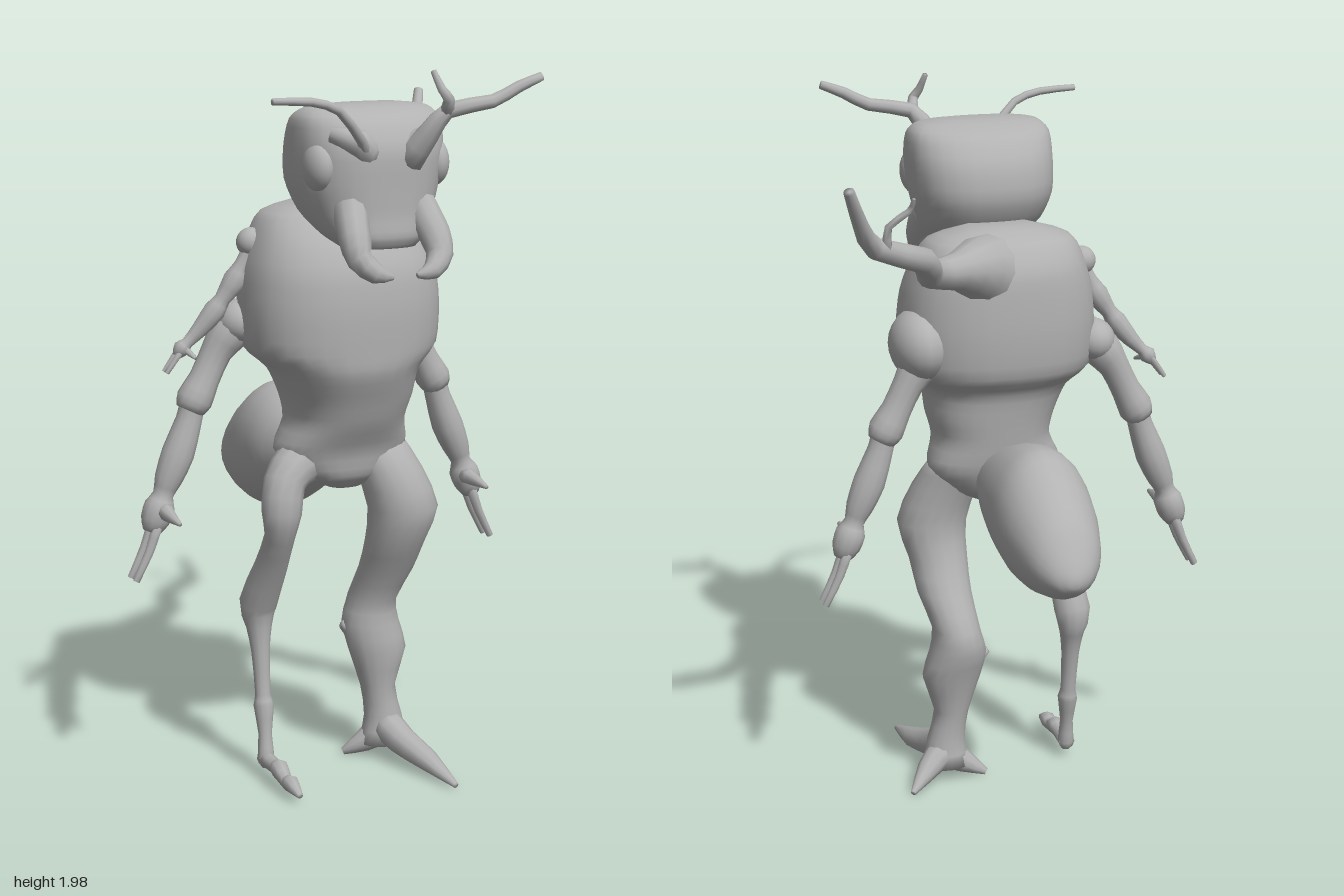
import * as THREE from 'three';

const V = (x, y, z) => new THREE.Vector3(x, y, z);

// Lofted skin through stations [x, y, z, ru, rv]; rings follow the path unless a fixed axis is given.
function loft(stations, { sides = 12, power = 2, steps = 2, axis = null, ref = V(0, 0, 1) } = {}) {
  const path = new THREE.CatmullRomCurve3(stations.map(s => V(s[0], s[1], s[2])), false, 'catmullrom', 0.4);
  const radii = new THREE.CatmullRomCurve3(stations.map(s => V(s[3], s[4] ?? s[3], 0)), false, 'catmullrom', 0.4);
  const rows = (stations.length - 1) * steps;
  const pos = [], index = [];
  for (let i = 0; i <= rows; i++) {
    const c = path.getPoint(i / rows), r = radii.getPoint(i / rows);
    const t = axis ? axis.clone() : path.getPoint(Math.min(1, (i + 0.5) / rows))
      .sub(path.getPoint(Math.max(0, (i - 0.5) / rows))).normalize();
    const u = ref.clone().cross(t).normalize(), v = t.clone().cross(u);
    for (let j = 0; j < sides; j++) {
      const a = (j / sides) * Math.PI * 2;
      const ca = Math.cos(a), sa = Math.sin(a);
      const p = c.clone()
        .addScaledVector(u, Math.sign(ca) * Math.abs(ca) ** (2 / power) * r.x)
        .addScaledVector(v, Math.sign(sa) * Math.abs(sa) ** (2 / power) * r.y);
      pos.push(p.x, p.y, p.z);
    }
  }
  for (let i = 0; i < rows; i++) for (let j = 0; j < sides; j++) {
    const k = (j + 1) % sides;
    const a = i * sides + j, b = i * sides + k, c = b + sides, d = a + sides;
    index.push(a, b, c, a, c, d);
  }
  // End caps
  const first = stations[0], last = stations[stations.length - 1], n = pos.length / 3;
  pos.push(first[0], first[1], first[2], last[0], last[1], last[2]);
  for (let j = 0; j < sides; j++) {
    const k = (j + 1) % sides;
    index.push(n, k, j, n + 1, rows * sides + j, rows * sides + k);
  }
  const g = new THREE.BufferGeometry();
  g.setAttribute('position', new THREE.Float32BufferAttribute(pos, 3));
  g.setIndex(index);
  g.computeVertexNormals();
  return g;
}

export function createModel() {
  const model = new THREE.Group();
  const chitin = new THREE.MeshStandardMaterial({ color: 0xb2b2b2 });
  chitin.name = 'grey chitin';
  const add = (name, geometry, parent = model) => {
    const m = new THREE.Mesh(geometry, chitin);
    m.name = name;
    parent.add(m);
    return m;
  };
  const group = name => {
    const g = new THREE.Group();
    g.name = name;
    model.add(g);
    return g;
  };
  const ball = (name, x, y, z, rx, ry, rz, parent) => {
    const m = add(name, new THREE.SphereGeometry(1, 16, 12), parent);
    m.position.set(x, y, z);
    m.scale.set(rx, ry, rz);
    return m;
  };
  const up = V(0, 1, 0);

  // Hips, waist and broad thorax
  add('torso', loft([
    [0.01, 0.84, 0.1, 0.05, 0.05], [0.01, 0.88, 0.095, 0.13, 0.09], [0.01, 0.95, 0.085, 0.19, 0.115],
    [0.015, 1.03, 0.1, 0.165, 0.145], [0.015, 1.1, 0.11, 0.18, 0.165], [0, 1.18, 0.12, 0.205, 0.19],
    [0, 1.24, 0.1, 0.265, 0.215], [0, 1.35, 0.095, 0.275, 0.222], [0, 1.45, 0.09, 0.265, 0.215],
    [0, 1.53, 0.075, 0.24, 0.19], [0, 1.6, 0.06, 0.2, 0.13], [0, 1.635, 0.06, 0.09, 0.05],
  ], { sides: 28, power: 2.4, steps: 3, axis: up }));

  // Abdomen hanging behind the hips
  add('abdomen', loft([
    [0, 0.93, 0.06, 0.07, 0.06], [-0.01, 0.915, -0.03, 0.105, 0.11], [-0.02, 0.9, -0.13, 0.132, 0.16],
    [-0.02, 0.885, -0.25, 0.137, 0.188], [-0.02, 0.858, -0.35, 0.128, 0.16], [-0.02, 0.828, -0.45, 0.098, 0.108],
    [-0.02, 0.80, -0.505, 0.055, 0.05], [-0.02, 0.79, -0.525, 0.015, 0.015],
  ], { sides: 24, steps: 3, axis: V(0, 0, -1), ref: up }));

  // Head with a squared crown and tapering muzzle
  const head = group('head');
  add('skull', loft([
    [0, 1.535, 0.33, 0.10, 0.08], [0, 1.565, 0.3, 0.135, 0.125], [0, 1.62, 0.255, 0.17, 0.165],
    [0, 1.7, 0.235, 0.197, 0.185], [0.003, 1.79, 0.24, 0.205, 0.178], [0.003, 1.86, 0.245, 0.2, 0.135],
    [0.003, 1.89, 0.25, 0.17, 0.075], [0.003, 1.9, 0.25, 0.09, 0.03],
  ], { sides: 28, power: 2.5, steps: 3, axis: up }), head);
  for (const s of [-1, 1]) {
    ball('eye', s * 0.165, 1.745, 0.32, 0.04, 0.065, 0.06, head);
    add('browRidge', loft([[s * 0.05, 1.77, 0.38, 0.035], [s * 0.09, 1.81, 0.4, 0.035], [s * 0.15, 1.83, 0.36, 0.02]]), head);
    add('mandible', loft([
      [s * 0.1, 1.64, 0.37, 0.045], [s * 0.115, 1.57, 0.43, 0.042], [s * 0.115, 1.52, 0.46, 0.035],
      [s * 0.08, 1.485, 0.485, 0.026], [s * 0.035, 1.475, 0.49, 0.008],
    ], { sides: 10 }), head);
  }

  // Antennae, one slender and one forked
  add('rightAntenna', loft([
    [-0.06, 1.77, 0.39, 0.018], [-0.1, 1.82, 0.435, 0.014], [-0.18, 1.9, 0.47, 0.012],
    [-0.26, 1.925, 0.48, 0.011], [-0.37, 1.93, 0.49, 0.009],
  ], { sides: 8 }), head);
  add('leftAntenna', loft([
    [0.06, 1.76, 0.39, 0.04], [0.09, 1.83, 0.44, 0.03], [0.13, 1.89, 0.47, 0.022],
    [0.25, 1.91, 0.485, 0.018], [0.32, 1.945, 0.495, 0.016], [0.385, 1.97, 0.5, 0.012],
  ], { sides: 8 }), head);
  add('leftAntennaFork', loft([
    [0.125, 1.885, 0.47, 0.018], [0.115, 1.92, 0.5, 0.015], [0.1, 1.945, 0.49, 0.012], [0.088, 1.99, 0.465, 0.008],
  ], { sides: 8 }), head);

  // Branch growing out of the left upper back
  const branch = group('backBranch');
  add('mainBranch', loft([
    [0.03, 1.5, 0.02, 0.13], [0.11, 1.545, -0.08, 0.085], [0.19, 1.56, -0.155, 0.05], [0.28, 1.575, -0.225, 0.038],
    [0.325, 1.635, -0.325, 0.034], [0.47, 1.69, -0.395, 0.028], [0.52, 1.76, -0.45, 0.02], [0.565, 1.86, -0.515, 0.014],
  ], { sides: 12, ref: up }), branch);
  add('twig', loft([
    [0.44, 1.68, -0.395, 0.014], [0.44, 1.745, -0.41, 0.01], [0.39, 1.785, -0.425, 0.009], [0.385, 1.82, -0.45, 0.005],
  ], { sides: 6 }), branch);

  // Main arms with shoulder, cuffs, thumb and two fingers
  for (const s of [-1, 1]) {
    const arm = group(s > 0 ? 'leftArm' : 'rightArm');
    arm.position.x = s > 0 ? -0.01 : -0.03;
    const q = (x, y, z, r, r2) => [s * x, y, z, r, r2 ?? r];
    if (s > 0) ball('shoulder', 0.25, 1.32, 0.03, 0.082, 0.1, 0.12, arm);
    else ball('shoulder', -0.23, 1.3, 0.01, 0.06, 0.06, 0.07, arm);
    add('upperArm', loft([
      q(0.2, 1.33, 0.01, 0.05), q(0.255, 1.27, 0.005, 0.055), q(0.29, 1.22, 0, 0.043),
      q(0.325, 1.15, 0, 0.042), q(0.355, 1.095, 0, 0.05), q(0.37, 1.065, 0, 0.038),
    ], { sides: 12 }), arm);
    add('forearm', loft([
      q(0.36, 1.09, 0, 0.035), q(0.372, 1.04, 0, 0.036), q(0.405, 0.95, 0, 0.045), q(0.435, 0.88, 0, 0.038),
      q(0.45, 0.84, 0, 0.028), q(0.46, 0.81, 0, 0.042), q(0.475, 0.77, 0, 0.04), q(0.485, 0.74, 0, 0.025),
    ], { sides: 12 }), arm);
    add('thumb', loft([
      q(0.455, 0.80, 0.02, 0.026), q(0.458, 0.795, 0.07, 0.018), q(0.458, 0.79, 0.14, 0.006),
    ], { sides: 8, ref: up }), arm);
    for (const z of [-0.02, 0.02]) add('finger', loft([
      q(0.475, 0.76, z * 0.9, 0.016), q(0.5, 0.69, z, 0.013), q(0.54, 0.61, z, 0.01),
    ], { sides: 8 }), arm);
  }

  // Small extra arm on the upper right
  const smallArm = group('smallRightArm');
  ball('smallShoulder', -0.235, 1.52, 0.045, 0.04, 0.04, 0.04, smallArm);
  add('smallArm', loft([
    [-0.22, 1.52, 0.05, 0.03], [-0.26, 1.46, 0.045, 0.022], [-0.28, 1.42, 0.04, 0.033], [-0.315, 1.37, 0.035, 0.022],
    [-0.335, 1.34, 0.03, 0.03], [-0.375, 1.29, 0.02, 0.023], [-0.41, 1.255, 0.015, 0.016],
    [-0.425, 1.24, 0.012, 0.024], [-0.44, 1.22, 0.01, 0.012],
  ], { sides: 10 }), smallArm);
  for (const z of [-0.01, 0.01]) add('smallFinger', loft([
    [-0.43, 1.235, 0.01 + z, 0.01], [-0.472, 1.178, 0.01 + z * 1.3, 0.006],
  ], { sides: 6 }), smallArm);
  add('smallThumb', loft([[-0.42, 1.24, 0.015, 0.012], [-0.405, 1.22, 0.06, 0.005]], { sides: 6 }), smallArm);

  // Heavy left leg with three spreading toes
  const leftLeg = group('leftLeg');
  add('leg', loft([
    [0.1, 0.97, 0.09, 0.09, 0.08], [0.14, 0.88, 0.13, 0.095, 0.09], [0.175, 0.77, 0.15, 0.1, 0.092],
    [0.165, 0.67, 0.125, 0.085, 0.085], [0.16, 0.58, 0.08, 0.078, 0.08], [0.14, 0.48, 0.03, 0.068, 0.08],
    [0.135, 0.41, 0.03, 0.082, 0.08], [0.15, 0.33, 0.045, 0.085, 0.07], [0.15, 0.22, 0.05, 0.05, 0.05],
    [0.165, 0.13, 0.055, 0.055, 0.05], [0.165, 0.05, 0.055, 0.07, 0.06],
  ], { sides: 16, axis: V(0, -1, 0) }), leftLeg);
  add('kneeSpur', loft([[0.12, 0.36, 0.03, 0.05], [0.05, 0.405, 0.02, 0.012]], { sides: 8 }), leftLeg);
  add('frontToe', loft([
    [0.165, 0.11, 0.05, 0.05], [0.18, 0.075, 0.15, 0.042], [0.205, 0.05, 0.25, 0.035, 0.03], [0.22, 0.022, 0.395, 0.008],
  ], { sides: 10, ref: up }), leftLeg);
  add('outerToe', loft([[0.17, 0.1, 0.05, 0.045], [0.235, 0.055, 0.01, 0.032], [0.295, 0.018, -0.05, 0.008]], { sides: 10, ref: up }), leftLeg);
  add('innerToe', loft([[0.16, 0.08, 0.05, 0.045], [0.11, 0.05, 0.04, 0.032], [0.055, 0.02, 0.02, 0.01]], { sides: 10, ref: up }), leftLeg);

  // Thin jointed right leg
  const rightLeg = group('rightLeg');
  add('leg', loft([
    [-0.06, 0.93, 0.09, 0.08], [-0.13, 0.915, 0.11, 0.068], [-0.18, 0.87, 0.135, 0.058], [-0.195, 0.79, 0.15, 0.055],
    [-0.195, 0.72, 0.135, 0.042], [-0.195, 0.62, 0.075, 0.046], [-0.205, 0.5, 0.01, 0.053],
    [-0.205, 0.43, 0.015, 0.036], [-0.205, 0.36, 0.025, 0.026], [-0.205, 0.24, 0.04, 0.022],
    [-0.205, 0.21, 0.045, 0.029], [-0.208, 0.13, 0.06, 0.019], [-0.21, 0.06, 0.07, 0.024], [-0.21, 0.035, 0.07, 0.012],
  ], { sides: 12 }), rightLeg);
  add('foot', loft([
    [-0.21, 0.06, 0.06, 0.024], [-0.212, 0.06, 0.14, 0.02], [-0.214, 0.065, 0.17, 0.027],
    [-0.216, 0.045, 0.22, 0.018], [-0.216, 0.05, 0.25, 0.024], [-0.216, 0.035, 0.31, 0.008],
  ], { sides: 8, ref: up }), rightLeg);

  return model;
}
